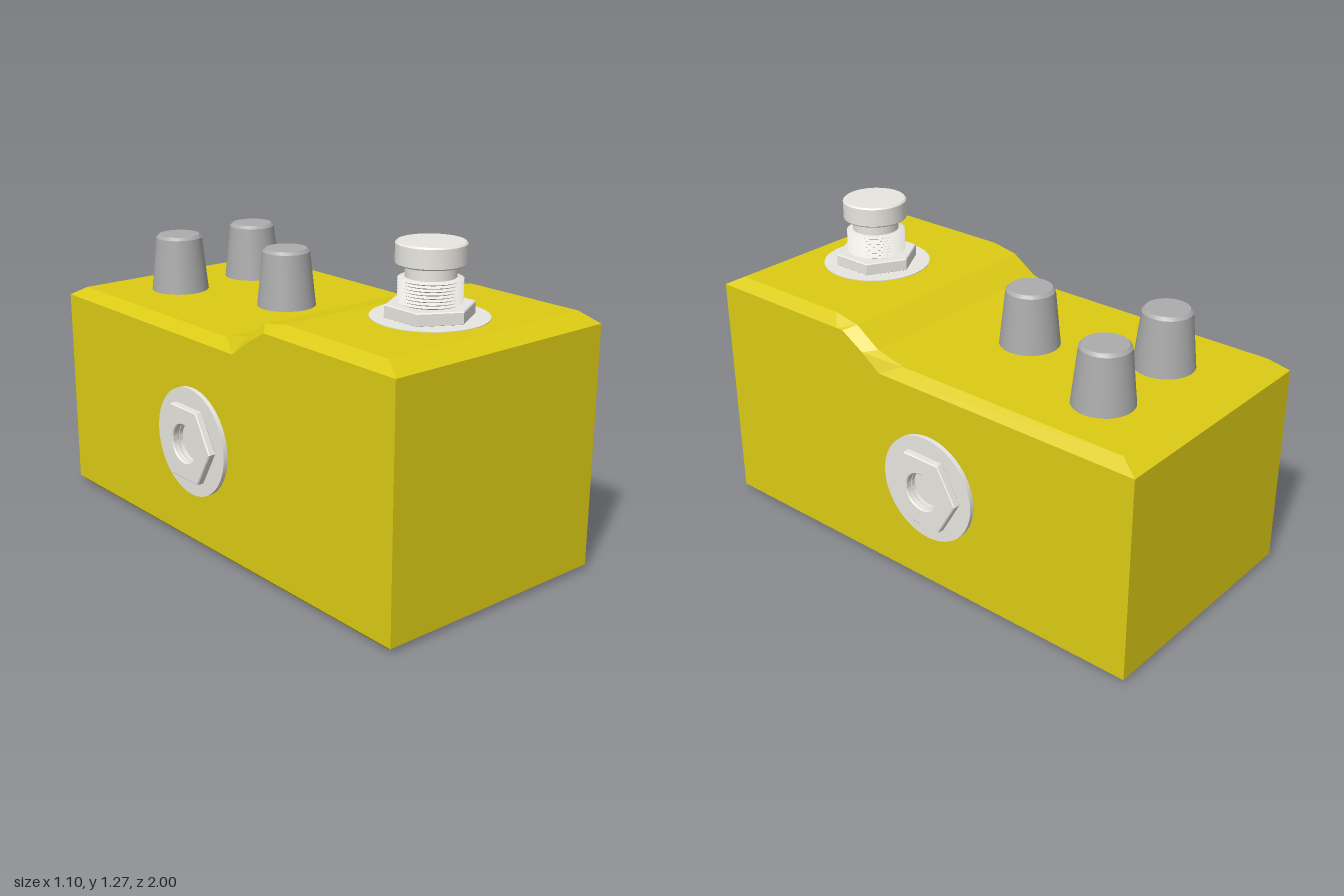
import * as THREE from 'three';
import { toCreasedNormals } from 'three/addons/utils/BufferGeometryUtils.js';

const yellow = new THREE.MeshStandardMaterial({ color: 0xdccb14, flatShading: true });
const metal = new THREE.MeshStandardMaterial({ color: 0xe8e6e0 });
const knobGrey = new THREE.MeshStandardMaterial({ color: 0xacacac });

function add(parent, name, geometry, material, x = 0, y = 0, z = 0) {
  const mesh = new THREE.Mesh(geometry, material);
  mesh.name = name;
  mesh.position.set(x, y, z);
  parent.add(mesh);
  return mesh;
}

// Revolved part with crisp edges; profile is [radius, y] from bottom to top
function turned(profile, segments = 48) {
  const points = profile.map(([r, y]) => new THREE.Vector2(r, y));
  return toCreasedNormals(new THREE.LatheGeometry(points, segments), 0.5);
}

// Flat plate of `sides` sides along +z, with an optional round hole
function plate(radius, sides, depth, hole, bevel, turn = 0) {
  const shape = new THREE.Shape();
  const r = radius - bevel;
  for (let i = 0; i < sides; i++) {
    const a = turn + (i / sides) * Math.PI * 2;
    shape[i ? 'lineTo' : 'moveTo'](r * Math.cos(a), r * Math.sin(a));
  }
  shape.closePath();
  if (hole) shape.holes.push(new THREE.Path().absarc(0, 0, hole + bevel, 0, Math.PI * 2, true));
  const geometry = new THREE.ExtrudeGeometry(shape, {
    depth: depth - 2 * bevel, curveSegments: 32,
    bevelEnabled: bevel > 0, bevelThickness: bevel, bevelSize: bevel, bevelSegments: 1,
  });
  geometry.translate(0, 0, bevel);
  return toCreasedNormals(geometry, 0.5);
}

// Chamfered case lofted from front to back
function caseGeometry() {
  // [shoulder z, shoulder y, top z, top y, base z]
  const stations = [
    [1, 0.96, 0.925, 1, 0.965],
    [0.36, 0.96, 0.4, 1, 0.36],
    [0.33, 0.96, 0.29, 0.98, 0.33],
    [0.23, 0.9, 0.185, 0.91, 0.23],
    [0.145, 0.84, 0.06, 0.88, 0.145],
    [-1, 0.84, -0.925, 0.88, -0.965],
  ];
  const rings = stations.map(([sz, sy, tz, ty, bz]) => {
    const right = [[0.48, 0, bz], [0.5, 0.02, sz], [0.5, sy, sz], [0.46, ty, tz]];
    const left = right.map(([x, y, z]) => [-x, y, z]).reverse();
    return [...right, ...left];
  });
  const positions = [];
  const quad = (a, b, c, d) => positions.push(...a, ...b, ...c, ...a, ...c, ...d);
  for (let s = 0; s < rings.length - 1; s++) {
    const p = rings[s], q = rings[s + 1];
    for (let i = 0; i < 8; i++) {
      const j = (i + 1) % 8;
      quad(p[i], q[i], q[j], p[j]);
    }
  }
  // Front and back faces with their chamfers
  const front = rings[0], back = rings[rings.length - 1];
  for (let i = 0; i < 3; i++) {
    quad(front[7 - i], front[i], front[i + 1], front[6 - i]);
    quad(back[i], back[7 - i], back[6 - i], back[i + 1]);
  }
  const geometry = new THREE.BufferGeometry();
  geometry.setAttribute('position', new THREE.Float32BufferAttribute(positions, 3));
  geometry.computeVertexNormals();
  return geometry;
}

// Socket facing +z: washer, hex nut and recessed hole
function makeJack(name) {
  const jack = new THREE.Group();
  jack.name = name;
  add(jack, 'jackWasher', plate(0.215, 48, 0.018, 0.075, 0), metal);
  add(jack, 'jackNut', plate(0.165, 6, 0.032, 0.075, 0.004), metal, 0, 0, 0.017);
  add(jack, 'jackHoleFloor', new THREE.CircleGeometry(0.08, 32), metal, 0, 0, 0.002);
  return jack;
}

function makeFootswitch() {
  const group = new THREE.Group();
  group.name = 'footswitch';
  add(group, 'switchWasher', turned([[0.215, -0.01], [0.215, 0.003], [0, 0.003]]), metal);
  const nut = add(group, 'switchNut', plate(0.165, 6, 0.05, 0, 0.004, Math.PI / 2), metal);
  nut.rotation.x = -Math.PI / 2;
  // Threaded collar
  const ridges = 8, thread = [];
  for (let i = 0; i <= ridges * 2; i++) {
    thread.push([i % 2 ? 0.117 : 0.104, 0.05 + (0.095 * i) / (ridges * 2)]);
  }
  thread.push([0, 0.145]);
  add(group, 'threadedCollar', turned(thread), metal);
  add(group, 'plunger', turned([[0.092, 0.14], [0.092, 0.195]]), metal);
  add(group, 'pushButton', turned([
    [0, 0.19], [0.122, 0.19], [0.127, 0.195], [0.127, 0.264], [0.121, 0.27], [0, 0.27],
  ]), metal);
  return group;
}

export function createModel() {
  const model = new THREE.Group();
  model.name = 'effectsPedal';
  add(model, 'case', caseGeometry(), yellow);

  // Control knobs
  const knob = turned([[0.117, 0], [0.094, 0.218], [0.083, 0.23], [0, 0.23]]);
  [[-0.17, -0.66], [0.207, -0.66], [0, -0.165]].forEach(([x, z], i) => {
    add(model, `knob${i + 1}`, knob, knobGrey, x, 0.88, z);
  });

  const footswitch = makeFootswitch();
  footswitch.position.set(0, 1, 0.64);
  model.add(footswitch);

  // Side sockets
  const leftJack = makeJack('leftJack');
  leftJack.position.set(0.5, 0.445, -0.097);
  leftJack.rotation.y = Math.PI / 2;
  const rightJack = makeJack('rightJack');
  rightJack.position.set(-0.5, 0.435, -0.11);
  rightJack.rotation.y = -Math.PI / 2;
  model.add(leftJack, rightJack);
  return model;
}
